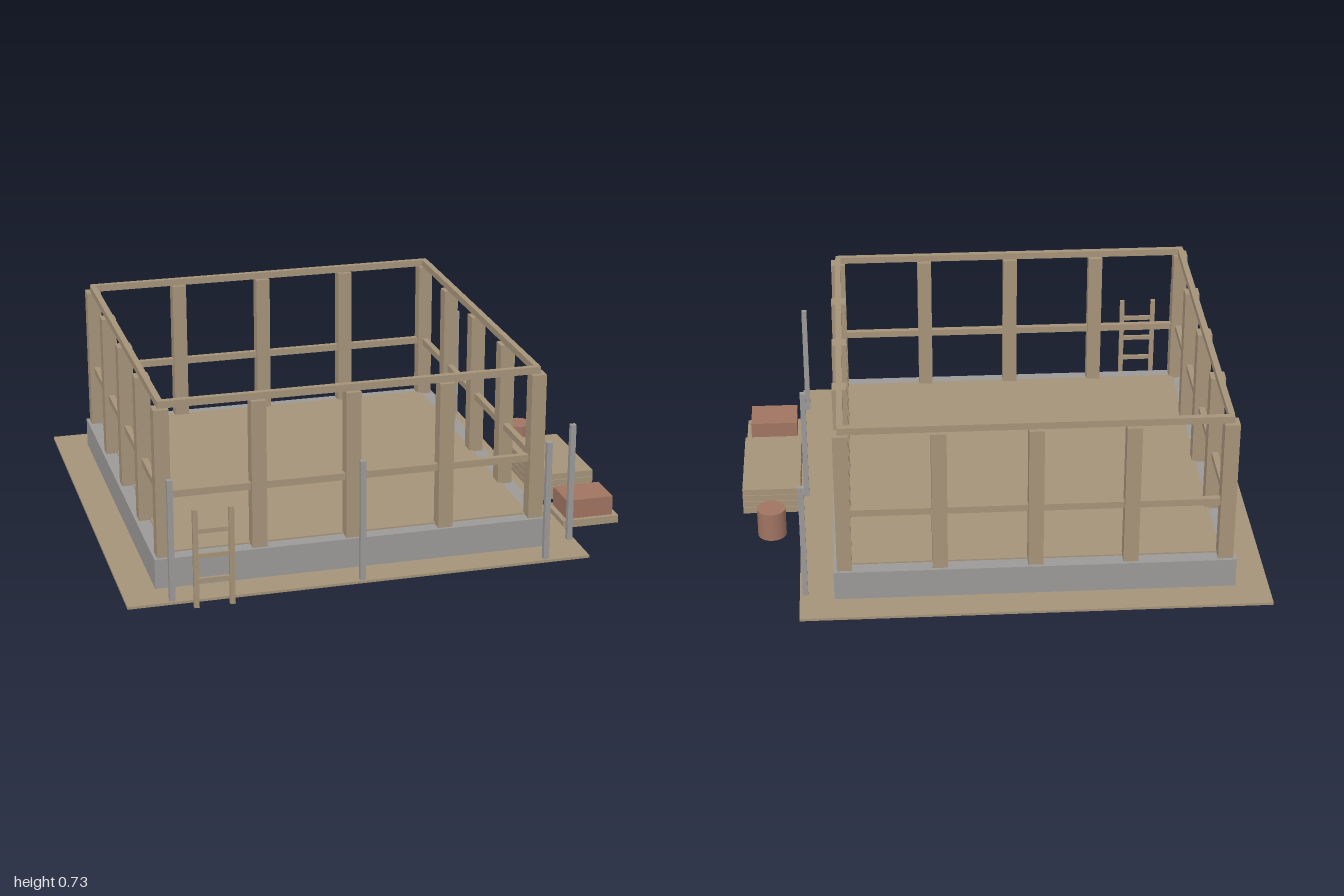
import * as THREE from 'three';

export function createModel() {
  const root = new THREE.Group();
  const mat = (name, color) => Object.assign(new THREE.MeshStandardMaterial({ color }), { name });
  const timber = mat('timber', 0xa6947a);
  const concrete = mat('concrete grey', 0x9b9a98);
  const brick = mat('brick red', 0xa07462);

  // Box given by its extents on each axis
  function box(name, material, [x0, x1], [y0, y1], [z0, z1], parent = root) {
    const mesh = new THREE.Mesh(new THREE.BoxGeometry(x1 - x0, y1 - y0, z1 - z0), material);
    mesh.position.set((x0 + x1) / 2, (y0 + y1) / 2, (z0 + z1) / 2);
    mesh.name = name;
    parent.add(mesh);
    return mesh;
  }
  const span = (c, half) => [c - half, c + half];

  // Building centre, and distance from it to the wall centre lines
  const CX = -0.117, CZ = -0.029, W = 0.716;

  // Ground sheet
  box('groundSheet', timber, [-1, 0.77], [0, 0.01], [-0.91, 0.855]);

  // Strip foundation: square ring
  const outline = new THREE.Shape();
  const square = (path, h) => path.moveTo(-h, -h).lineTo(h, -h).lineTo(h, h).lineTo(-h, h).closePath();
  square(outline, 0.757);
  const hole = new THREE.Path();
  square(hole, 0.65);
  outline.holes.push(hole);
  const ring = new THREE.ExtrudeGeometry(outline, { depth: 0.121, bevelEnabled: false });
  ring.rotateX(-Math.PI / 2);
  const foundation = new THREE.Mesh(ring, concrete);
  foundation.position.set(CX, 0.005, CZ);
  foundation.name = 'foundation';
  root.add(foundation);

  // Floor deck
  box('floor', timber, span(CX, 0.702), [0.115, 0.132], span(CZ, 0.702));

  // Wall frame: posts around the perimeter
  const frame = new THREE.Group();
  frame.name = 'wallFrame';
  root.add(frame);
  for (let i = 0; i < 5; i++) {
    for (let j = 0; j < 5; j++) {
      if (i % 4 && j % 4) continue;
      const x = CX + (i - 2) * W / 2, z = CZ + (j - 2) * W / 2;
      box('post', timber, span(x, 0.0285), [0.125, 0.7], span(z, 0.0285), frame);
    }
  }
  // Middle and top rails on all four walls
  for (const s of [-1, 1]) {
    const rails = [['midRail', [0.352, 0.379], W - 0.01], ['topRail', [0.7, 0.727], W + 0.01]];
    for (const [name, y, half] of rails) {
      box(name, timber, span(CX, half), y, span(CZ + s * W, 0.0115), frame);
      box(name, timber, span(CX + s * W, 0.0115), y, span(CZ, half - 0.022), frame);
    }
  }

  // Scaffold poles along the front and right sides
  for (let i = -1; i <= 1; i++) {
    box('frontPole', concrete, span(CX + i * W, 0.0105), [0.004, 0.48], span(0.838, 0.0105));
    box('sidePole', concrete, span(0.749, 0.0105), [0.004, 0.48], span(CZ + i * W, 0.0105));
  }

  // Ladder
  const ladder = new THREE.Group();
  ladder.name = 'ladder';
  root.add(ladder);
  for (const x of [-0.755, -0.622]) {
    box('ladderRail', timber, span(x, 0.0095), [0, 0.381], [0.889, 0.905], ladder);
  }
  for (const y of [0.105, 0.201, 0.297]) {
    box('ladderRung', timber, [-0.75, -0.627], span(y, 0.0085), [0.891, 0.903], ladder);
  }

  // Stack of boards
  for (let i = 0; i < 4; i++) {
    const y = 0.002 + i * 0.0275;
    box('board', timber, [0.77, 1], [y, y + 0.0255], [-0.14, 0.28]);
  }

  // Brick pile on a pallet
  box('pallet', timber, [0.77, 1], [0, 0.03], [0.376, 0.566]);
  box('brickPile', brick, [0.79, 0.98], [0.03, 0.107], [0.396, 0.55]);

  // Drum
  const drum = new THREE.Mesh(new THREE.CylinderGeometry(0.056, 0.056, 0.117, 24), brick);
  drum.position.set(0.882, 0.0585, -0.292);
  drum.name = 'drum';
  root.add(drum);

  return root;
}
